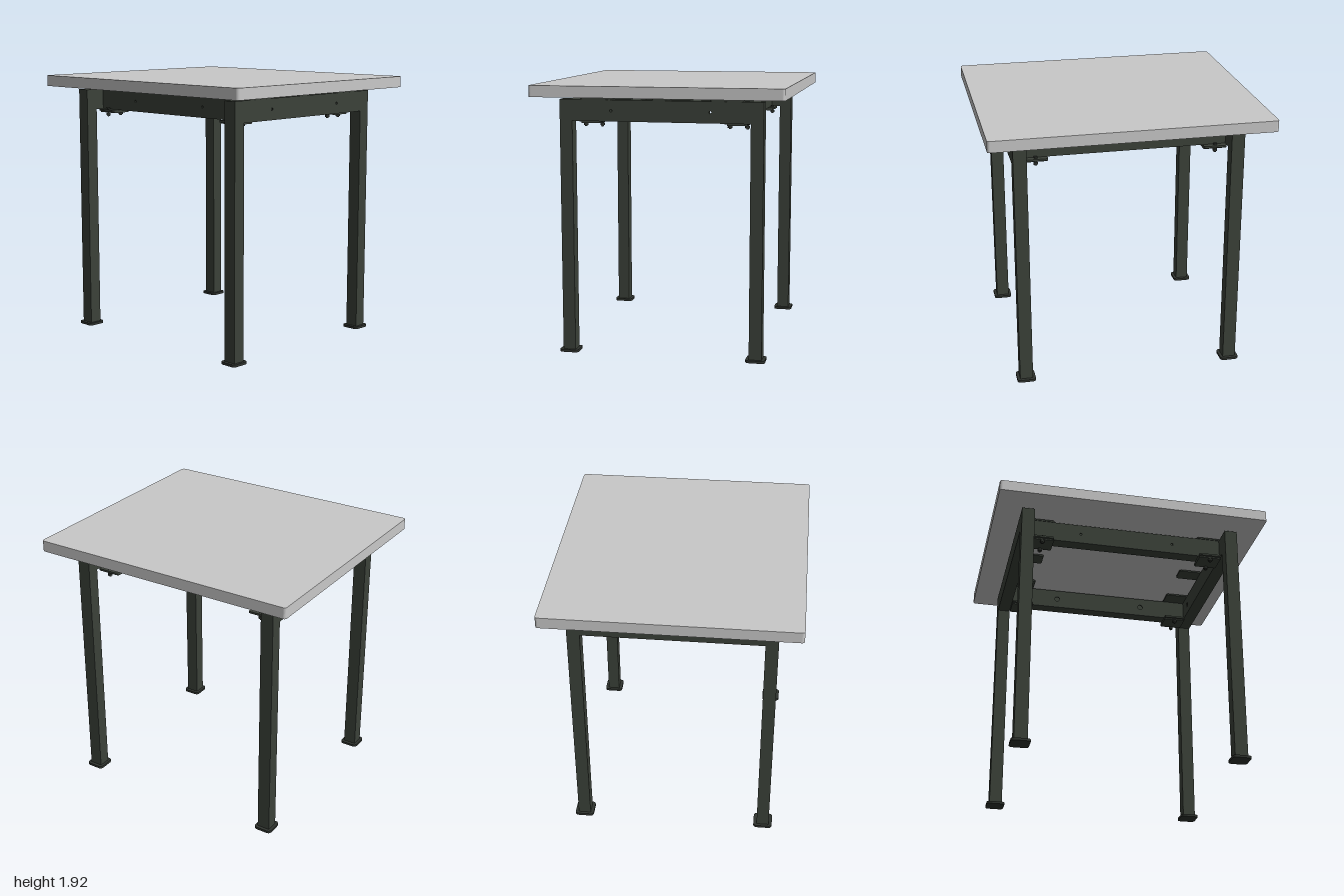
import * as THREE from 'three';

const topMat = new THREE.MeshStandardMaterial({ color: 0xc8c8c8, name: 'pale grey laminate' });
const steelMat = new THREE.MeshStandardMaterial({ color: 0x3b4139, name: 'dark green steel' });
const fittingMat = new THREE.MeshStandardMaterial({ color: 0x2f332e, name: 'dark fittings' });

function add(parent, name, geometry, material, x = 0, y = 0, z = 0) {
  const mesh = new THREE.Mesh(geometry, material);
  mesh.name = name;
  mesh.position.set(x, y, z);
  parent.add(mesh);
  return mesh;
}

// Rectangle with rounded corners, centred on the origin
function roundedRect(w, h, r) {
  const s = new THREE.Shape();
  const x = w / 2, y = h / 2;
  s.moveTo(-x + r, -y);
  s.lineTo(x - r, -y).absarc(x - r, -y + r, r, -Math.PI / 2, 0);
  s.lineTo(x, y - r).absarc(x - r, y - r, r, 0, Math.PI / 2);
  s.lineTo(-x + r, y).absarc(-x + r, y - r, r, Math.PI / 2, Math.PI);
  s.lineTo(-x, -y + r).absarc(-x + r, -y + r, r, Math.PI, Math.PI * 1.5);
  return s;
}

// Horizontal slab standing on y = 0
function slab(w, d, h, r) {
  return new THREE.ExtrudeGeometry(roundedRect(w, d, r), { depth: h, bevelEnabled: false, curveSegments: 5 })
    .rotateX(-Math.PI / 2);
}

// Upright wall of a rail with two holes, lying along x
function railWall(length, height, thickness, holeX, holeR) {
  const s = new THREE.Shape();
  const x = length / 2, y = height / 2;
  s.moveTo(-x, -y).lineTo(x, -y).lineTo(x, y).lineTo(-x, y).closePath();
  for (const side of [-1, 1]) {
    const hole = new THREE.Path();
    hole.absarc(side * holeX, 0, holeR, 0, Math.PI * 2, true);
    s.holes.push(hole);
  }
  return new THREE.ExtrudeGeometry(s, { depth: thickness, bevelEnabled: false, curveSegments: 12 })
    .translate(0, 0, -thickness / 2);
}

// Hollow rail: small holes outside (+z), large holes inside
function makeRail(name, length, width) {
  const rail = new THREE.Group();
  rail.name = name;
  const h = 0.15, t = 0.01;
  add(rail, 'outerWall', railWall(length, h, t, 0.35, 0.009), steelMat, 0, 0, width / 2 - t / 2);
  add(rail, 'innerWall', railWall(length, h, t, 0.35, 0.02), steelMat, 0, 0, -width / 2 + t / 2);
  for (const s of [-1, 1]) {
    add(rail, 'flange', new THREE.BoxGeometry(length, t, width - 2 * t), steelMat, 0, s * (h / 2 - t / 2), 0);
  }
  return rail;
}

// Bolt hanging below a clamp plate, with a nut above it
function makeBolt() {
  const bolt = new THREE.Group();
  bolt.name = 'clampBolt';
  add(bolt, 'shank', new THREE.CylinderGeometry(0.009, 0.009, 0.06, 12), fittingMat, 0, -0.004, 0);
  add(bolt, 'head', new THREE.CylinderGeometry(0.017, 0.017, 0.017, 6), fittingMat, 0, -0.018, 0);
  add(bolt, 'nut', new THREE.CylinderGeometry(0.014, 0.014, 0.02, 6), fittingMat, 0, 0.02, 0);
  return bolt;
}

export function createModel() {
  const table = new THREE.Group();
  table.name = 'table';
  const legX = 0.767, legZ = 0.675, railY = 1.745;

  add(table, 'tableTop', slab(2, 1.77, 0.08, 0.02), topMat, 0, 1.845, 0);

  for (const sx of [-1, 1]) {
    // Side frame: two legs, feet and a long rail
    const frame = new THREE.Group();
    frame.name = sx > 0 ? 'leftFrame' : 'rightFrame';
    table.add(frame);
    for (const sz of [-1, 1]) {
      add(frame, 'leg', new THREE.BoxGeometry(0.094, 1.802, 0.09), steelMat, sx * legX, 0.919, sz * legZ);
      add(frame, 'foot', slab(0.135, 0.138, 0.018, 0.025), fittingMat, sx * legX, 0, sz * legZ);
    }
    const rail = makeRail('sideRail', 1.26, 0.094);
    rail.rotation.y = sx * Math.PI / 2;
    rail.position.set(sx * legX, railY, 0);
    frame.add(rail);

    // Mounting tabs and screws under the top
    for (const [z, depth, screwZ] of [[0, 0.12, 0], [0.46, 0.22, 0.5], [-0.46, 0.22, -0.5]]) {
      add(frame, 'mountingTab', slab(0.26, depth, 0.012, 0.015), steelMat, sx * 0.68, 1.82, z);
      for (const x of [0.77, 0.6]) {
        add(frame, 'mountingScrew', new THREE.CylinderGeometry(0.018, 0.018, 0.012, 12), fittingMat,
          sx * x, 1.838, screwZ);
      }
    }

    // Clamp plates joining the cross rails to the frame
    for (const sz of [-1, 1]) {
      add(frame, 'clampPlate', slab(0.165, 0.18, 0.014, 0.015), steelMat, sx * 0.638, 1.657, sz * 0.52);
      add(frame, 'clampPad', slab(0.165, 0.145, 0.01, 0.01), steelMat, sx * 0.638, 1.647, sz * 0.52);
      for (const dz of [-0.061, 0.061]) {
        const bolt = makeBolt();
        bolt.position.set(sx * 0.64, 1.652, sz * 0.52 + dz);
        frame.add(bolt);
      }
    }
  }

  // Cross rails set in from the legs
  for (const sz of [-1, 1]) {
    const rail = makeRail(sz > 0 ? 'frontCrossRail' : 'backCrossRail', 1.44, 0.09);
    rail.rotation.y = sz > 0 ? 0 : Math.PI;
    rail.position.set(0, railY, sz * 0.52);
    table.add(rail);
  }
  return table;
}
